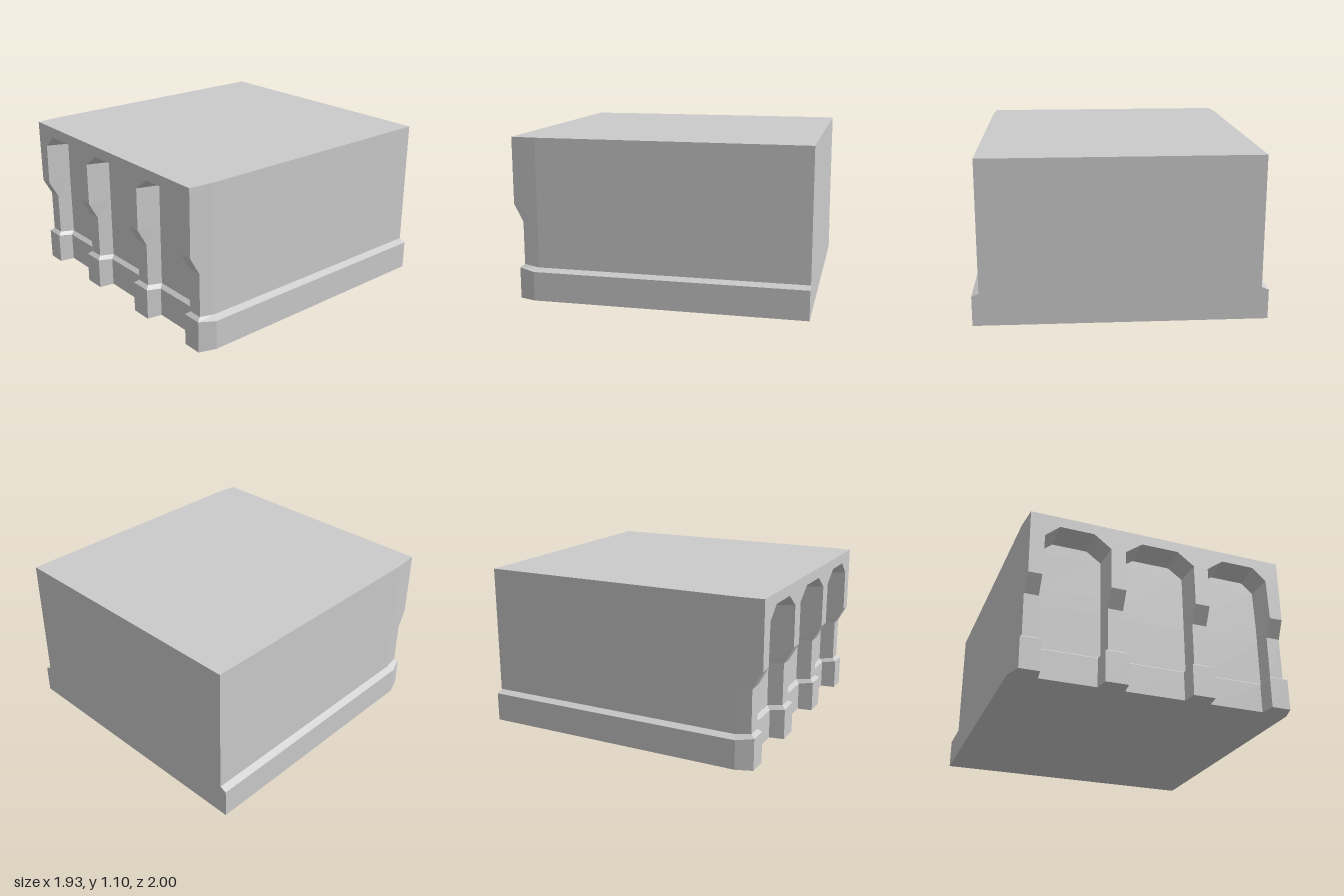
import * as THREE from 'three';

// Horizontal outline at one level: back corner, side, front corner, three bays, mirrored side.
// yF/yB: heights of pier faces and of wall; fz/bz: their depths; h/c: bay half widths and centre.
function ring({ yF, yB, side, sideZ, frontX, fz, bz, outerC, outerH, midH, inset }) {
  const pts = [[side, yB, -1], [side, yB, sideZ], [frontX, yF, fz]];
  for (const [c, h] of [[outerC, outerH], [0, midH], [-outerC, outerH]]) {
    pts.push([c + h, yF, fz], [c + h - inset, yB, bz], [c - h + inset, yB, bz], [c - h, yF, fz]);
  }
  pts.push([-frontX, yF, fz], [-side, yB, sideZ], [-side, yB, -1]);
  return pts.map((p) => new THREE.Vector3(...p));
}

// Skin a stack of outlines, optionally closing the bottom and top.
function loft(name, levels, material, capBottom, capTop) {
  const rings = levels.map(ring);
  const pos = [];
  const tri = (a, b, c) => {
    const n = b.clone().sub(a).cross(c.clone().sub(a));
    if (n.length() > 1e-8) pos.push(...a, ...b, ...c);
  };
  for (let k = 0; k < rings.length - 1; k++) {
    const lo = rings[k], hi = rings[k + 1];
    lo.forEach((a, i) => {
      const j = (i + 1) % lo.length;
      tri(a, hi[i], lo[j]);
      tri(lo[j], hi[i], hi[j]);
    });
  }
  const cap = (pts, up) => {
    const flat = pts.map((p) => new THREE.Vector2(p.x, p.z));
    for (const [i, j, k] of THREE.ShapeUtils.triangulateShape(flat, [])) {
      const [a, b, c] = [pts[i], pts[j], pts[k]];
      const ny = b.clone().sub(a).cross(c.clone().sub(a)).y;
      if (ny * up > 0) tri(a, b, c);
      else tri(a, c, b);
    }
  };
  if (capBottom) cap(rings[0], -1);
  if (capTop) {
    const r = rings[rings.length - 1], n = r.length;
    cap([r[0], r[1], r[2], r[n - 3], r[n - 2], r[n - 1]], 1);
  }
  const geo = new THREE.BufferGeometry();
  geo.setAttribute('position', new THREE.Float32BufferAttribute(pos, 3));
  geo.computeVertexNormals();
  const mesh = new THREE.Mesh(geo, material);
  mesh.name = name;
  return mesh;
}

export function createModel() {
  const group = new THREE.Group();
  group.name = 'archedHall';
  const material = new THREE.MeshStandardMaterial({ color: 0xcccccc, flatShading: true });

  const plinth = {
    yF: 0, yB: 0, side: 0.967, sideZ: 0.85, frontX: 0.928, fz: 0.963, bz: 0.86,
    outerC: 0.585, outerH: 0.208, midH: 0.223, inset: 0.015,
  };
  const shaft = {
    yF: 0.235, yB: 0.22, side: 0.92, sideZ: 0.83, frontX: 0.91, fz: 0.935, bz: 0.83,
    outerC: 0.582, outerH: 0.231, midH: 0.248, inset: 0.013,
  };
  const upper = { ...shaft, frontX: 0.905, fz: 1 };
  const archTop = { ...upper, yF: 1.03, yB: 1.0, outerC: 0.588, outerH: 0.118, midH: 0.13, inset: -0.003 };
  const archClosed = { ...archTop, yB: 1.03, bz: 1, inset: 0 };

  // Plinth with its sloped ledge, stepping out round the piers
  group.add(loft('plinth', [plinth, { ...plinth, yF: 0.215, yB: 0.2 }, shaft], material, true, false));

  // Walls, piers with sloped corbels, three chamfered arches and flat roof
  group.add(loft('wallsAndArches', [
    shaft,
    { ...shaft, yF: 0.53, yB: 0.53 },
    { ...upper, yF: 0.65, yB: 0.65 },
    { ...upper, yF: 0.943, yB: 0.928, outerC: 0.579, outerH: 0.226 },
    archTop,
    archClosed,
    { ...archClosed, yF: 1.103, yB: 1.103 },
  ], material, false, true));

  return group;
}
